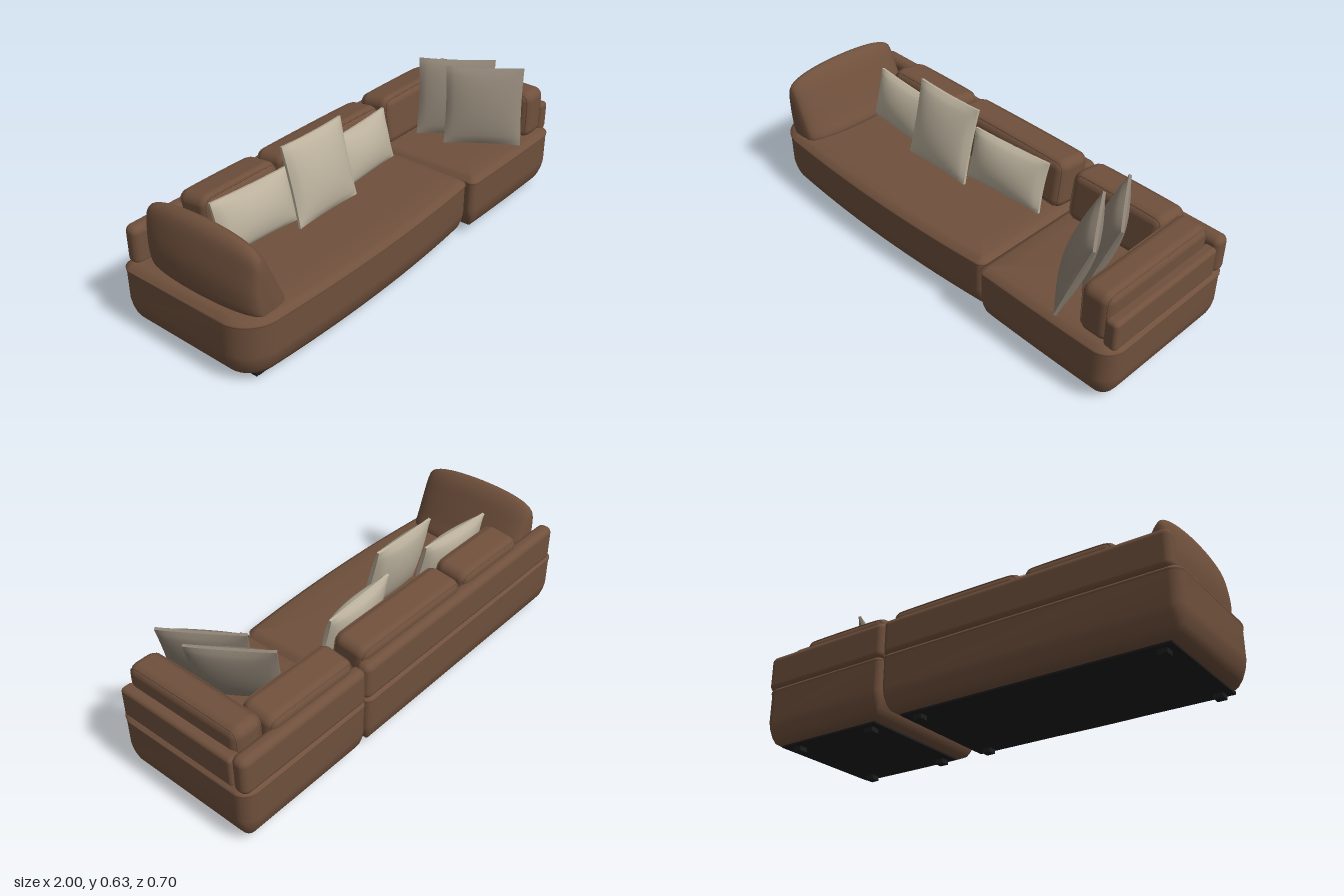
import * as THREE from 'three';
import { RoundedBoxGeometry } from 'three/addons/geometries/RoundedBoxGeometry.js';

const material = (name, color) => {
  const m = new THREE.MeshStandardMaterial({ color });
  m.name = name;
  return m;
};

// Closed skin over a stack of rings of [x, y, z] points, capped at both ends
function loft(rings) {
  const n = rings[0].length, pos = rings.flat(2), idx = [];
  for (let j = 0; j < rings.length - 1; j++)
    for (let i = 0; i < n; i++) {
      const a = j * n + i, b = j * n + (i + 1) % n;
      idx.push(a, a + n, b, b, a + n, b + n);
    }
  [0, rings.length - 1].forEach((j, end) => {
    const c = pos.length / 3;
    for (let k = 0; k < 3; k++) pos.push(rings[j].reduce((s, p) => s + p[k], 0) / n);
    for (let i = 0; i < n; i++) {
      const a = j * n + i, b = j * n + (i + 1) % n;
      idx.push(c, end ? b : a, end ? a : b);
    }
  });
  const g = new THREE.BufferGeometry();
  g.setAttribute('position', new THREE.Float32BufferAttribute(pos, 3));
  g.setIndex(idx);
  g.computeVertexNormals();
  return g;
}

// Seat base profile: [inset, height], with a piped seam below the top
const baseProfile = [[0.1, 0.028], [0.055, 0.028], [0.033, 0.04], [0.018, 0.065], [0.006, 0.1], [0, 0.135],
  [0, 0.262], [-0.003, 0.267], [-0.003, 0.273], [0.004, 0.276], [0.012, 0.286], [0.03, 0.294], [0.1, 0.299]];

// Radii run front right, front left, back left, back right as seen from above
function seatBase(x0, x1, z0, z1, radii, bow) {
  const corners = [[1, 1], [-1, 1], [-1, -1], [1, -1]];
  const cx = (x0 + x1) / 2, cz = (z0 + z1) / 2;
  return loft(baseProfile.map(([inset, y]) => {
    const a = (x1 - x0) / 2 - inset, b = (z1 - z0) / 2 - inset, ring = [];
    const put = (x, z) =>
      ring.push([cx + x, y, cz + z + bow * (1 - (x / a) ** 2) * Math.max(0, z / b)]);
    corners.forEach(([sx, sz], c) => {
      const r = Math.max(radii[c] - inset, 0.005);
      for (let i = 0; i <= 8; i++) {
        const t = (c + i / 8) * Math.PI / 2;
        put(sx * (a - r) + r * Math.cos(t), sz * (b - r) + r * Math.sin(t));
      }
      if (c === 0) {
        // extra points along the bowed front
        const from = a - r, to = -a + Math.max(radii[1] - inset, 0.005);
        for (let i = 1; i < 14; i++) put(from + (to - from) * i / 14, b);
      }
    });
    return ring;
  }));
}

// Tall leaning bolster, swept from back to front
function bolster() {
  const outline = [[-0.95, 0.29], [-0.967, 0.38], [-0.953, 0.48], [-0.925, 0.56], [-0.89, 0.58],
    [-0.852, 0.55], [-0.81, 0.47], [-0.765, 0.37], [-0.735, 0.295], [-0.83, 0.285]];
  const curve = new THREE.CatmullRomCurve3(outline.map(p => new THREE.Vector3(p[0], p[1], 0)), true);
  const section = curve.getPoints(48).slice(0, 48), rings = [];
  for (let j = 0; j <= 24; j++) {
    const a = (j / 24 - 0.5) * Math.PI, k = Math.sqrt(Math.max(0, Math.cos(a)));
    rings.push(section.map(p => {
      const mid = -0.85 - 0.05 * (p.y - 0.3) / 0.28;
      return [mid + (p.x - mid) * (0.12 + 0.88 * k), 0.29 + (p.y - 0.29) * (0.62 + 0.38 * k),
        0.015 + 0.285 * Math.sin(a)];
    }));
  }
  return loft(rings);
}

// Soft pillow: thick in the middle, thin at the rim, pointed corners
function pillowGeometry(w, h, t) {
  const g = new THREE.BoxGeometry(2, 2, 2, 20, 20, 1), p = g.attributes.position;
  for (let i = 0; i < p.count; i++) {
    const u = p.getX(i), v = p.getY(i), s = Math.sign(p.getZ(i));
    const puff = Math.pow(Math.max(0, (1 - u * u) * (1 - v * v)), 0.6);
    p.setXYZ(i, u * w / 2 * (1 - 0.03 * (1 - v * v)), v * h / 2 * (1 - 0.03 * (1 - u * u)),
      s * (0.006 + t * puff));
  }
  g.computeVertexNormals();
  return g;
}

// Closed piping loop around a rounded rectangle
function pipingGeometry(w, h, r) {
  const pts = [];
  [[1, 1], [-1, 1], [-1, -1], [1, -1]].forEach(([sx, sy], c) => {
    for (let i = 0; i <= 5; i++) {
      const t = (c + i / 5) * Math.PI / 2;
      pts.push(new THREE.Vector3(sx * (w / 2 - r) + r * Math.cos(t), sy * (h / 2 - r) + r * Math.sin(t), 0));
    }
  });
  return new THREE.TubeGeometry(new THREE.CatmullRomCurve3(pts, true, 'centripetal'), 120, 0.0035, 6, true);
}

export function createModel() {
  const model = new THREE.Group();
  model.name = 'sofa';
  const leather = material('brown leather', 0x6f503c);
  const cream = material('cream fabric', 0xbab09c);
  const taupe = material('taupe fabric', 0x8c8173);
  const black = material('black base', 0x1c1c1c);

  const add = (name, geometry, mat, parent = model) => {
    const mesh = new THREE.Mesh(geometry, mat);
    mesh.name = name;
    parent.add(mesh);
    return mesh;
  };
  const block = (name, x0, x1, y0, y1, z0, z1, r, mat) => {
    const size = [x1 - x0, y1 - y0, z1 - z0];
    const g = r ? new RoundedBoxGeometry(...size, 5, r) : new THREE.BoxGeometry(...size);
    add(name, g, mat).position.set((x0 + x1) / 2, (y0 + y1) / 2, (z0 + z1) / 2);
  };
  // Firm cushion with piping on its front and back edges
  const cushion = (name, w, h, d, x, y, z, yaw, lean) => {
    const group = new THREE.Group(), r = 0.042, cut = r * (1 - Math.SQRT1_2);
    group.name = name;
    add(name + 'Body', new RoundedBoxGeometry(w, h, d, 6, r), leather, group);
    for (const s of [-1, 1])
      add(name + 'Piping', pipingGeometry(w - 2 * cut, h - 2 * cut, r - cut), leather, group)
        .position.z = s * (d / 2 - cut);
    group.position.set(x, y, z);
    group.rotation.set(lean, yaw, 0, 'YXZ');
    model.add(group);
  };
  const pillow = (name, w, h, t, x, y, z, yaw, lean, mat) => {
    const mesh = add(name, pillowGeometry(w, h, t), mat);
    mesh.position.set(x, y, z);
    mesh.rotation.set(lean, yaw, 0, 'YXZ');
  };

  // Seat modules
  add('longSeat', seatBase(-0.997, 0.335, -0.347, 0.315, [0.035, 0.13, 0.05, 0.03], 0.03), leather);
  add('shortSeat', seatBase(0.341, 0.997, -0.347, 0.342, [0.08, 0.03, 0.03, 0.06], 0.003), leather);

  // Dark undersides and feet
  block('longUnderside', -0.92, 0.27, 0.02, 0.032, -0.288, 0.268, 0, black);
  block('shortUnderside', 0.405, 0.93, 0.02, 0.032, -0.288, 0.268, 0, black);
  for (const x of [-0.87, 0.205, 0.46, 0.865])
    for (const z of [-0.243, 0.233])
      block('foot', x - 0.02, x + 0.02, 0, 0.022, z - 0.02, z + 0.02, 0, black);

  // Low rail along the back and the outer arm panel
  block('longBackRail', -0.968, 0.337, 0.275, 0.444, -0.347, -0.277, 0.03, leather);
  block('shortBackRail', 0.337, 0.992, 0.275, 0.444, -0.347, -0.277, 0.03, leather);
  block('armPanel', 0.93, 0.99, 0.28, 0.415, -0.278, 0.31, 0.018, leather);

  // Arm and back cushions
  cushion('armCushion', 0.582, 0.225, 0.138, 0.878, 0.392, 0.018, Math.PI / 2, 0);
  for (const [x0, x1] of [[-0.73, -0.33], [-0.31, 0.32], [0.365, 0.815]])
    cushion('backCushion', x1 - x0, 0.225, 0.165, (x0 + x1) / 2, 0.388, -0.22, 0, -0.13);
  add('armBolster', bolster(), leather);

  // Loose pillows
  pillow('lowPillowRight', 0.39, 0.228, 0.048, -0.555, 0.411, -0.068, -0.07, -0.25, cream);
  pillow('lowPillowLeft', 0.39, 0.228, 0.048, 0.09, 0.411, -0.068, 0.07, -0.25, cream);
  pillow('middlePillow', 0.345, 0.345, 0.045, -0.24, 0.466, -0.015, 0, -0.25, cream);
  for (const z of [0.005, 0.155])
    pillow('cornerPillow', 0.345, 0.345, 0.042, 0.68, 0.46, z, -0.97, -0.36, taupe);

  return model;
}
